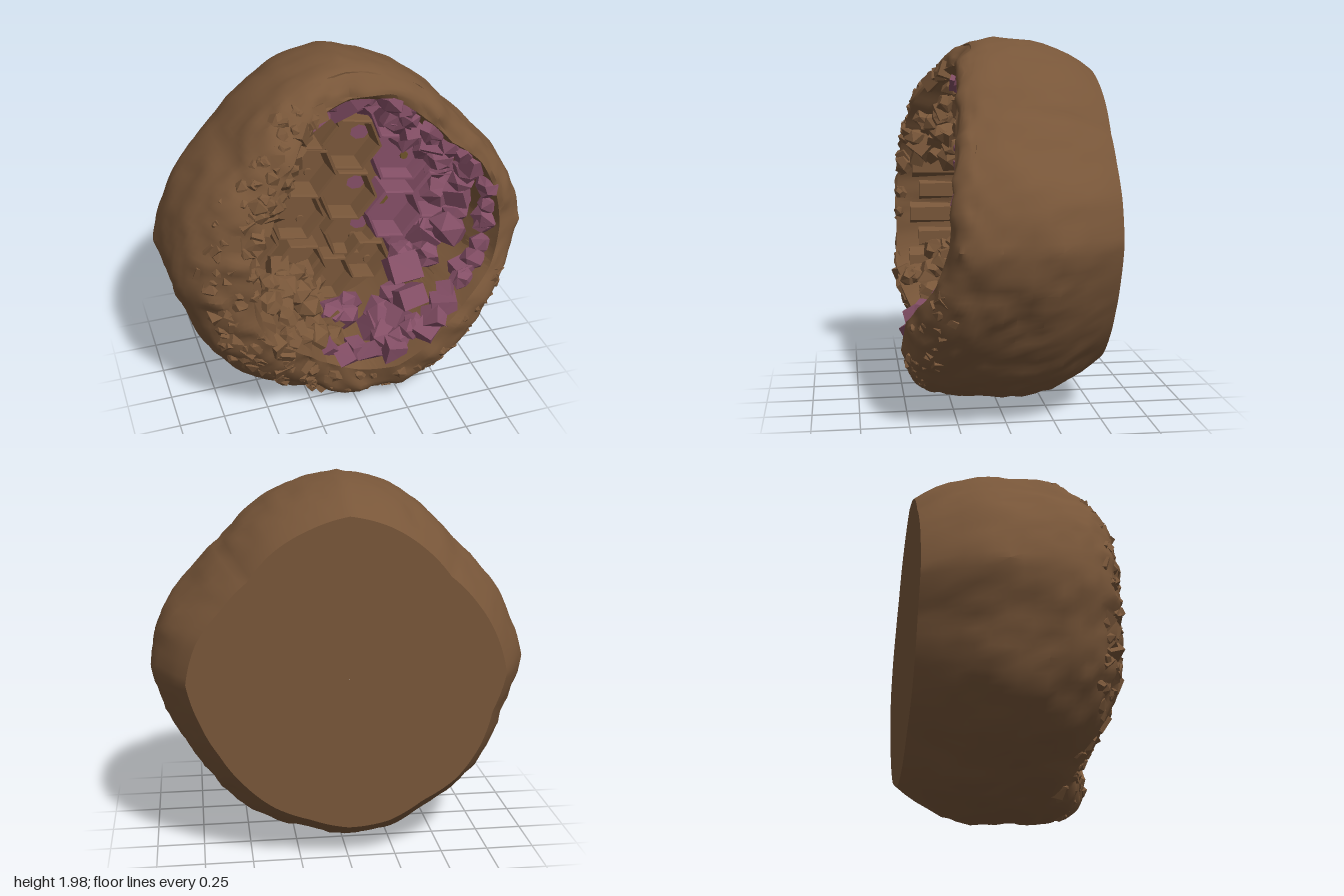
import * as THREE from 'three';
import { toCreasedNormals } from 'three/addons/utils/BufferGeometryUtils.js';

const TAU = Math.PI * 2;
const SEG = 160;
const FLOOR = -0.17;
const lerp = THREE.MathUtils.lerp;
const paint = (name, color) => Object.assign(new THREE.MeshStandardMaterial({ color }), { name });

// small seeded random
let seed = 11;
const rnd = (a = 0, b = 1) => {
  seed = (seed * 16807) % 2147483647;
  return a + (b - a) * seed / 2147483647;
};

// polar profiles, evenly spaced counterclockwise from +x
const OUTLINE = [1, 0.965, 0.9, 0.875, 0.92, 0.955, 1, 0.965, 0.92, 0.88, 0.91, 0.95,
  0.99, 0.94, 0.96, 0.97, 0.95, 0.985, 0.985, 0.95, 0.95, 0.935, 0.93, 0.955];
const OPENING = [0.82, 0.82, 0.81, 0.76, 0.79, 0.84, 0.84, 0.82, 0.72, 0.66, 0.64, 0.63,
  0.6, 0.62, 0.62, 0.58, 0.6, 0.68, 0.71, 0.69, 0.65, 0.63, 0.68, 0.78];
const RIM_Z = [0.32, 0.3, 0.28, 0.26, 0.24, 0.21, 0.2, 0.28, 0.41, 0.45, 0.48, 0.49,
  0.5, 0.5, 0.51, 0.5, 0.45, 0.37, 0.42, 0.5, 0.52, 0.51, 0.46, 0.38];
const ROUNDING = [0.6, 0.7, 1, 0.8, 1.3, 1.1, 0.7, 0.65];

function polar(table, angle) {
  const t = ((angle / TAU) % 1 + 1) % 1 * table.length;
  const i = Math.floor(t);
  return lerp(table[i % table.length], table[(i + 1) % table.length], t - i);
}

// value noise in -1..1
const hash = (x, y, z) => {
  const s = Math.sin(x * 127.1 + y * 311.7 + z * 74.7) * 43758.5453;
  return (s - Math.floor(s)) * 2 - 1;
};
function noise(x, y, z) {
  const [i, j, k] = [x, y, z].map(Math.floor);
  const [u, v, w] = [x - i, y - j, z - k].map((t) => t * t * (3 - 2 * t));
  const row = (b, c) => lerp(hash(i, b, c), hash(i + 1, b, c), u);
  return lerp(lerp(row(j, k), row(j + 1, k), v), lerp(row(j, k + 1), row(j + 1, k + 1), v), w);
}

// lumpy stone relief, rougher toward the base and the front
const lumps = (x, y, z) => 0.014 * noise(x * 5, y * 5, z * 5)
  + (y < 0.9 || z > 0.2 ? 0.014 : 0.008) * noise(x * 14, y * 14, z * 14);

// front curve of the shell: p runs from the widest part (0) to the lip (PI / 2)
function frontCurve(a, p) {
  const open = polar(OPENING, a);
  const k = p > 1.57 ? 0 : Math.pow(Math.cos(p), polar(ROUNDING, a));
  return { r: lerp(open, polar(OUTLINE, a), k), z: polar(RIM_Z, a) * Math.pow(Math.sin(p), 0.75) };
}

// skins a list of closed rings, running from the back toward the front
function loft(rings, creaseAngle) {
  const n = rings[0].length;
  const geo = new THREE.BufferGeometry().setFromPoints(rings.flat());
  const index = [];
  for (let i = 0; i < rings.length - 1; i++) {
    for (let j = 0; j < n; j++) {
      const a = i * n + j, b = i * n + (j + 1) % n;
      index.push(a, b, a + n, b, b + n, a + n);
    }
  }
  geo.setIndex(index);
  return toCreasedNormals(geo, creaseAngle);
}

const ring = (n, fn) => Array.from({ length: n }, (_, j) => fn(j / n * TAU));

function rimPoint(a, r, z, rough) {
  const c = Math.cos(a), s = Math.sin(a);
  const d = r + lumps(r * c, 1 + r * s, z) * rough;
  return new THREE.Vector3(d * c, 1 + d * s, z);
}

// shell, closed by a flat back and ending at the lip of the opening
function shellGeometry() {
  const back = [[-0.53, 0.001, 0], [-0.53, 0.82, 0], [-0.47, 0.865, 0.3], [-0.41, 0.9, 0.6], [-0.34, 0.935, 0.8],
    [-0.27, 0.965, 1], [-0.2, 0.985, 1], [-0.13, 0.995, 1], [-0.06, 1, 1]];
  const rings = back.map(([z, k, rough]) => ring(SEG, (a) => rimPoint(a, polar(OUTLINE, a) * k, z, rough)));
  for (let i = 0; i <= 18; i++) {
    const p = i / 18 * Math.PI / 2;
    rings.push(ring(SEG, (a) => {
      const { r, z } = frontCurve(a, p);
      const v = rimPoint(a, r, z, i < 18 ? 1 : 0);
      if (i > 7 && i < 18) v.z += 0.018 * noise(v.x * 13, v.y * 13, 5);
      return v;
    }));
  }
  return loft(rings, 0.55);
}

// steep wall and flat floor of the hollow, starting exactly at the lip
function hollowGeometry() {
  return loft([[1, 0], [0.97, 0.15], [0.94, 0.45], [0.91, 0.75], [0.88, 1], [0.001, 1]].map(([k, t], i) =>
    ring(SEG, (a) => {
      const bump = i > 0 && i < 4 ? 0.03 * noise(Math.cos(a) * 6, Math.sin(a) * 6, i) : 0;
      const r = polar(OPENING, a) * (k + bump);
      return new THREE.Vector3(r * Math.cos(a), 1 + r * Math.sin(a), lerp(polar(RIM_Z, a), FLOOR, t));
    })), 0.3);
}

// six-sided basin with a raised, bevelled border
function cellGeometry(R, height) {
  const steps = [[1, -0.03], [1, height - 0.015], [0.97, height], [0.9, height], [0.87, height - 0.02],
    [0.8, 0.01], [0.001, 0.01]];
  return loft(steps.map(([k, z]) => ring(6, (a) =>
    new THREE.Vector3(R * k * Math.cos(a), R * k * Math.sin(a), z))), 0.1);
}

// angular chunk: a solid with its corners shifted by a repeatable rule
function chunkGeometry(kind) {
  const geo = kind % 3 === 0 ? new THREE.BoxGeometry(1.5, 1.5, 1.5).toNonIndexed()
    : kind % 3 === 1 ? new THREE.DodecahedronGeometry(1) : new THREE.IcosahedronGeometry(1);
  const p = geo.attributes.position;
  for (let i = 0; i < p.count; i++) {
    const x = p.getX(i), y = p.getY(i), z = p.getZ(i);
    const k = 1 + 0.2 * Math.sin(5 * x + 3 * y + kind) * Math.cos(4 * z - 2 * y + kind);
    p.setXYZ(i, x * k, y * k, z * k);
  }
  geo.computeVertexNormals();
  return geo;
}

export function createModel() {
  const model = new THREE.Group();
  const stone = paint('brown stone', 0x785639);
  const olive = paint('olive stain', 0x6c5229);
  const crystal = paint('purple crystal', 0x834e65);

  const add = (name, geo, mat, parent = model) => {
    const mesh = new THREE.Mesh(geo, mat);
    mesh.name = name;
    parent.add(mesh);
    return mesh;
  };
  const group = (name) => {
    const g = new THREE.Group();
    g.name = name;
    model.add(g);
    return g;
  };

  add('rockShell', shellGeometry(), stone);
  add('hollow', hollowGeometry(), stone);

  // honeycomb of basins: x, y, radius, is purple
  const cells = [[-0.21, 1.03, 0.17], [0.07, 1.14, 0.17], [-0.16, 1.32, 0.17], [-0.45, 1.21, 0.17],
    [-0.49, 0.92, 0.17], [-0.22, 0.75, 0.16], [0.1, 0.86, 0.16], [0.09, 1.45, 0.17], [-0.13, 1.6, 0.16],
    [-0.04, 0.6, 0.16], [0.19, 0.68, 0.14], [0.33, 0.99, 0.17, 1], [0.4, 1.33, 0.2, 1], [0.35, 1.6, 0.17, 1],
    [0.6, 1.05, 0.17, 1], [-0.4, 1.48, 0.15], [0.47, 0.74, 0.16, 1]];
  const comb = group('honeycomb');
  cells.forEach(([x, y, R, purple], n) => {
    const cell = add('cell', cellGeometry(R, 0.1 + 0.03 * (n % 3)), purple ? crystal : stone, comb);
    cell.position.set(x, y, FLOOR + 0.025 * (n % 2));
    cell.rotation.z = -Math.PI / 18;
    // small knob and colour stain on some floors
    if (n % 2 === 0) {
      const knob = add('knob', new THREE.CylinderGeometry(0.022, 0.025, 0.009, 9), purple ? olive : stone, cell);
      knob.rotation.x = Math.PI / 2;
      knob.position.set(0.05, -0.06, 0.014);
    }
    if ([1, 6, 7, 11].includes(n)) {
      const stain = add('stain', new THREE.CircleGeometry(0.055, 7), purple ? olive : crystal, cell);
      stain.scale.y = 0.8;
      stain.position.set(purple ? -0.05 : 0.07, 0.03, 0.016);
    }
  });

  // tall six-sided columns against the left wall
  const columns = group('columns');
  for (let i = 0; i < 9; i++) {
    const a = THREE.MathUtils.degToRad(132 + i * 13);
    const r = polar(OPENING, a) + 0.01, top = polar(RIM_Z, a) - 0.08 - 0.05 * (i % 2);
    const col = add('column', new THREE.CylinderGeometry(0.075, 0.085, top - FLOOR, 6).toNonIndexed(), stone, columns);
    col.geometry.computeVertexNormals();
    col.rotation.x = Math.PI / 2;
    col.position.set(r * Math.cos(a), 1 + r * Math.sin(a), (top + FLOOR) / 2);
  }

  const kinds = [0, 1, 2, 3, 4, 5].map(chunkGeometry);
  const scatter = (name, parent, mat, count, from, to, place) => {
    for (let i = 0; i < count; i++) {
      const a = THREE.MathUtils.degToRad(lerp(from, to, (i + rnd()) / count));
      const { r, z, size } = place(a);
      const m = add(name, kinds[Math.floor(rnd(0, 6))], mat, parent);
      m.position.set(r * Math.cos(a), 1 + r * Math.sin(a), z);
      m.rotation.set(rnd(0, 6), rnd(0, 6), rnd(0, 6));
      m.scale.set(size, size * rnd(0.7, 1.1), size * rnd(0.8, 1.2));
    }
  };

  // chunks sloping from just inside the lip down toward the floor
  const slope = (depth, near, far, small, big) => (a) => {
    const t = rnd(near, far);
    return { r: polar(OPENING, a) - 0.02 - 0.16 * t, z: polar(RIM_Z, a) - 0.06 - depth * t, size: rnd(small, big) };
  };
  // chunks half sunk in the front curve of the shell
  const crust = (small, big) => (a) => {
    const { r, z } = frontCurve(a, rnd(0.7, 1.5)), size = rnd(small, big);
    return { r: r - size * 0.4, z: z - size * 0.5, size };
  };

  // purple crystals lining the right and top of the opening
  const gems = group('crystals');
  scatter('crystal', gems, crystal, 34, -103, 103, slope(0.35, 0, 0.25, 0.055, 0.085));
  scatter('crystal', gems, crystal, 34, -100, 100, slope(0.35, 0.4, 1.1, 0.075, 0.11));

  // broken stones along the left and lower lip
  const rubble = group('rubble');
  scatter('stone', rubble, stone, 110, 102, 262, crust(0.025, 0.065));
  scatter('stone', rubble, stone, 36, 265, 345, crust(0.02, 0.045));
  scatter('stone', rubble, stone, 22, 104, 150, slope(0.35, 0, 0.8, 0.05, 0.085));
  scatter('stone', rubble, stone, 30, 205, 262, slope(0.4, 0, 1.2, 0.06, 0.095));

  return model;
}
